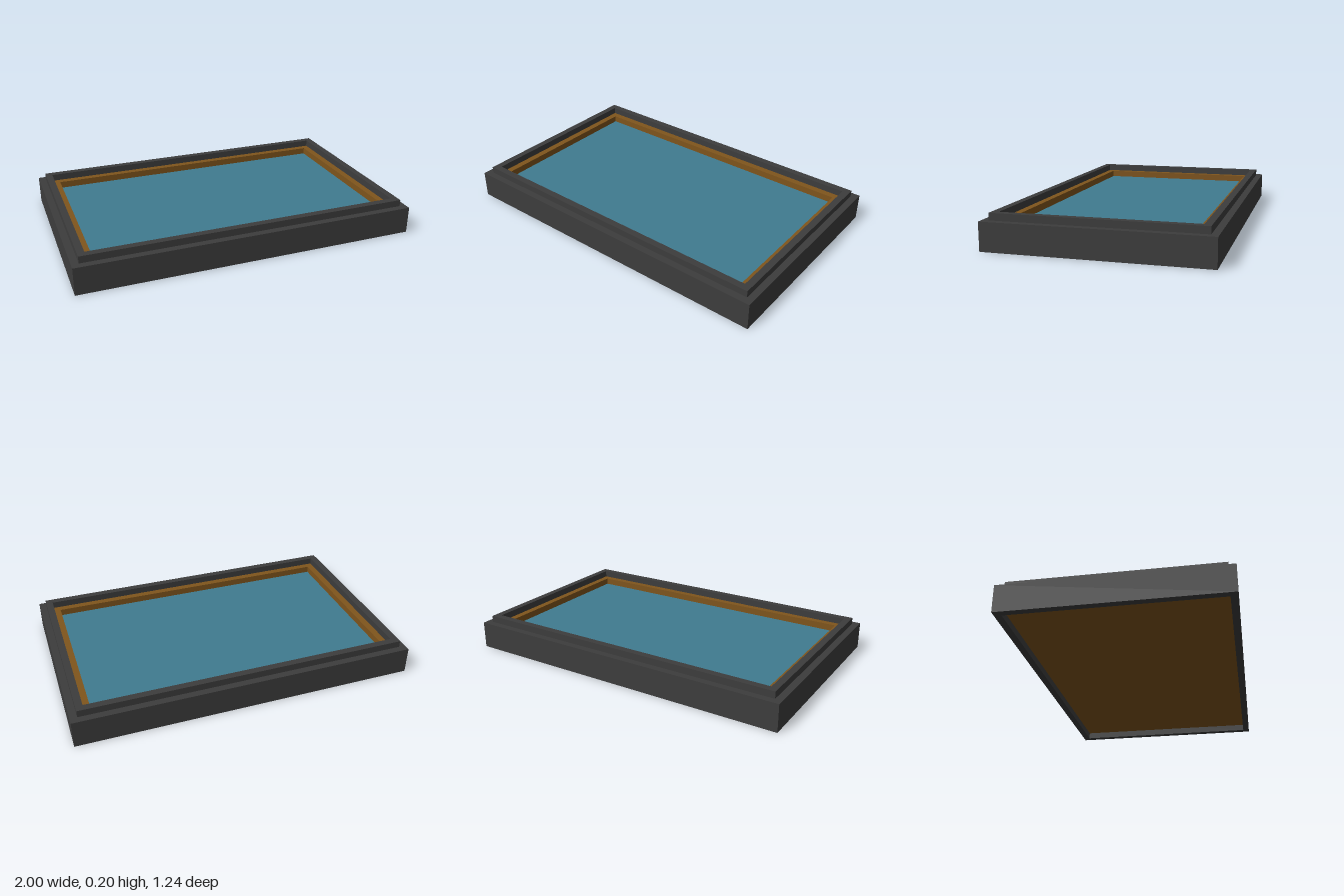
import * as THREE from 'three';

const dark = new THREE.MeshStandardMaterial({ color: 0x3d3d3d });
const wood = new THREE.MeshStandardMaterial({ color: 0x80551c });
const blue = new THREE.MeshStandardMaterial({ color: 0x407b90 });

// Half sizes of the outermost rectangle, and the step between nested rectangles
const HX = 1, HZ = 0.62, STEP = 0.04;

function rectangle(target, inset) {
  const x = HX - inset, z = HZ - inset;
  return target.setFromPoints([[-x, -z], [x, -z], [x, z], [-x, z]].map(p => new THREE.Vector2(...p)));
}

// Rectangular ring, one step wide, from height y0 to y1
function ring(name, inset, y0, y1, material) {
  const shape = rectangle(new THREE.Shape(), inset);
  shape.holes.push(rectangle(new THREE.Path(), inset + STEP));
  const geometry = new THREE.ExtrudeGeometry(shape, { depth: y1 - y0, bevelEnabled: false });
  geometry.rotateX(-Math.PI / 2).translate(0, y0, 0);
  const mesh = new THREE.Mesh(geometry, material);
  mesh.name = name;
  return mesh;
}

// Solid slab filling a rectangle
function panel(name, inset, y0, y1, material) {
  const geometry = new THREE.BoxGeometry(2 * (HX - inset), y1 - y0, 2 * (HZ - inset));
  const mesh = new THREE.Mesh(geometry, material);
  mesh.position.y = (y0 + y1) / 2;
  mesh.name = name;
  return mesh;
}

export function createModel() {
  const group = new THREE.Group();
  group.name = 'framedPanel';
  group.add(
    ring('outerFrame', 0, 0, 0.16, dark),
    ring('raisedRim', STEP, 0.08, 0.2, dark),
    ring('woodenLiner', 2 * STEP, 0.08, 0.16, wood),
    // Backing board is recessed from the bottom edge
    panel('backingBoard', STEP, 0.04, 0.08, wood),
    panel('bluePanel', 3 * STEP, 0.08, 0.12, blue),
  );
  return group;
}
